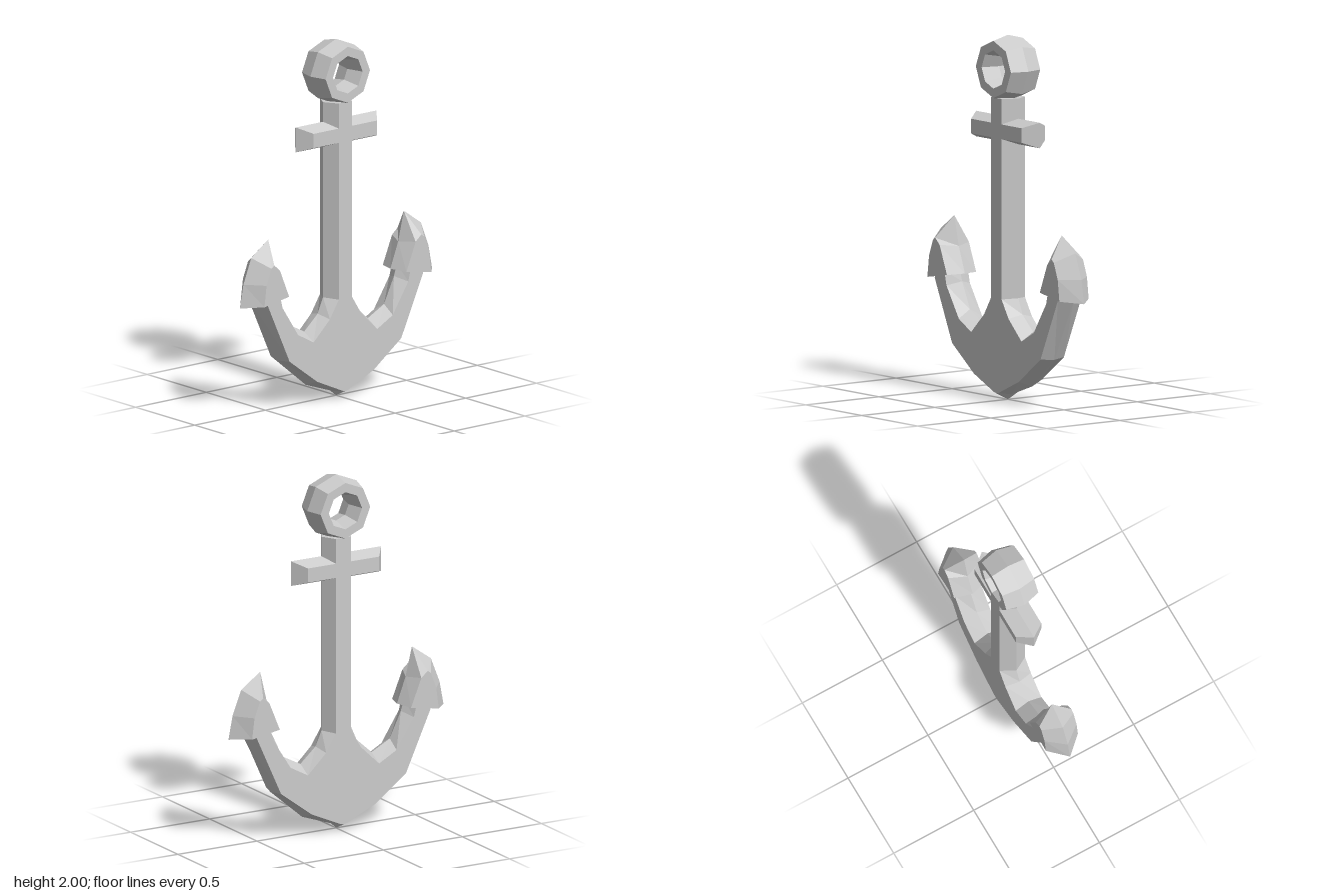
import * as THREE from 'three';

const material = new THREE.MeshStandardMaterial({ color: 0xcccccc, flatShading: true });

// Solid with a ridge outline at z = 0 and matching inset faces at z = +-depth.
// Each row is [ridgeX, ridgeY, faceX, faceY], counter-clockwise.
function ridgedPlate(name, rows, depth) {
  const ridge = rows.map(([x, y]) => new THREE.Vector3(x, y, 0));
  const front = rows.map(([, , x, y]) => new THREE.Vector3(x, y, depth));
  const back = rows.map(([, , x, y]) => new THREE.Vector3(x, y, -depth));
  const points = [];
  const quad = (a, b, c, d) => points.push(a, b, c, a, c, d);
  rows.forEach((_, i) => {
    const j = (i + 1) % rows.length;
    quad(ridge[i], ridge[j], front[j], front[i]);
    quad(ridge[j], ridge[i], back[i], back[j]);
  });
  const contour = front.map((p) => new THREE.Vector2(p.x, p.y));
  for (const [a, b, c] of THREE.ShapeUtils.triangulateShape(contour, [])) {
    points.push(front[a], front[b], front[c], back[a], back[c], back[b]);
  }
  const geometry = new THREE.BufferGeometry().setFromPoints(points);
  geometry.computeVertexNormals();
  const mesh = new THREE.Mesh(geometry, material);
  mesh.name = name;
  return mesh;
}

const mirrored = (rows) => rows.map(([rx, ry, fx, fy]) => [-rx, ry, -fx, fy]).reverse();

export function createModel() {
  const anchor = new THREE.Group();
  anchor.name = 'anchor';

  // Shank, crossbar and arms share one outline, from the bottom tip upwards
  const half = [
    [0.03, 0.03, 0.022, 0.045],
    [0.215, 0.095, 0.2, 0.125],
    [0.415, 0.265, 0.395, 0.27],
    [0.585, 0.6, 0.55, 0.61],
    [0.575, 0.64, 0.54, 0.64],
    [0.43, 0.665, 0.465, 0.66],
    [0.41, 0.6, 0.445, 0.58],
    [0.34, 0.455, 0.335, 0.41],
    [0.225, 0.395, 0.225, 0.35],
    [0.13, 0.48, 0.11, 0.46],
    [0.092, 0.565, 0.047, 0.56],
    [0.092, 1.41, 0.047, 1.44],
    [0.285, 1.41, 0.225, 1.44],
    [0.285, 1.55, 0.225, 1.52],
    [0.092, 1.55, 0.047, 1.52],
    [0.092, 1.66, 0.047, 1.66],
  ];
  anchor.add(ridgedPlate('shankAndArms', [[0, 0, 0, 0.04], ...half, ...mirrored(half)], 0.08));

  // Pointed flukes on the arm ends
  const fluke = [
    [0.385, 0.645, 0.415, 0.642],
    [0.68, 0.6, 0.59, 0.612],
    [0.655, 0.73, 0.575, 0.73],
    [0.6, 0.87, 0.54, 0.82],
    [0.48, 0.955, 0.52, 0.835],
    [0.44, 0.79, 0.48, 0.8],
  ];
  anchor.add(ridgedPlate('leftFluke', fluke, 0.1));
  anchor.add(ridgedPlate('rightFluke', mirrored(fluke), 0.1));

  // Eight-sided ring with a hexagonal section
  const section = [[0.08, 0], [0.105, -0.1], [0.157, -0.1], [0.182, 0], [0.157, 0.1], [0.105, 0.1], [0.08, 0]];
  const ring = new THREE.Mesh(
    new THREE.LatheGeometry(section.map(([r, z]) => new THREE.Vector2(r, z)), 8),
    material
  );
  ring.name = 'ring';
  ring.rotation.x = Math.PI / 2;
  ring.position.y = 1.818;
  anchor.add(ring);

  return anchor;
}
